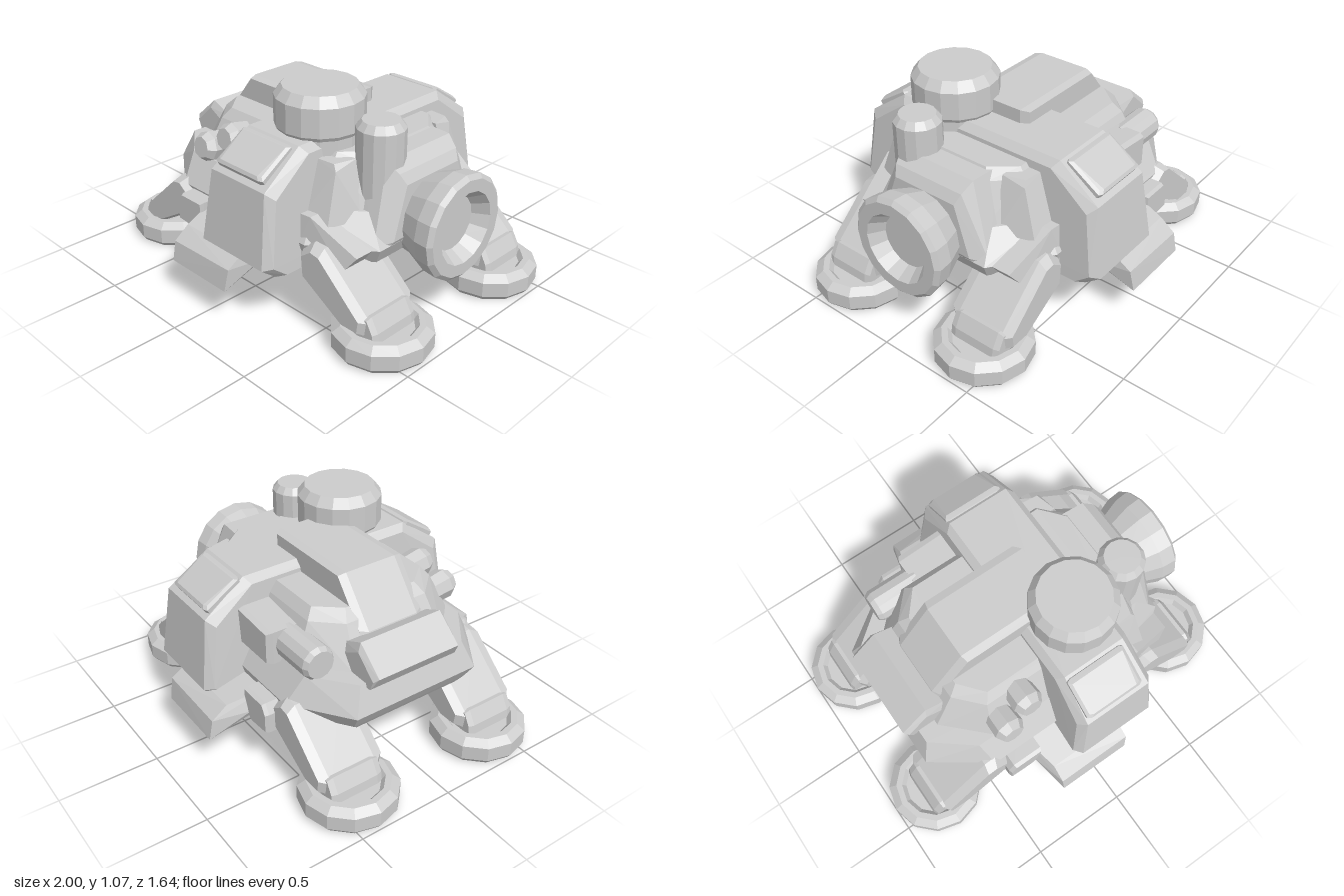
import * as THREE from 'three';
import { ConvexGeometry } from 'three/addons/geometries/ConvexGeometry.js';

const mat = new THREE.MeshStandardMaterial({ color: 0xcccccc, flatShading: true });

export function createModel() {
  const root = new THREE.Group();

  const add = (name, geo, x = 0, y = 0, z = 0) => {
    const m = new THREE.Mesh(geo, mat);
    m.name = name;
    m.position.set(x, y, z);
    root.add(m);
    return m;
  };
  // Convex solid around a list of corners
  const solid = (name, pts) => add(name, new ConvexGeometry(pts.map(p => new THREE.Vector3(...p))));
  // Faceted solid of revolution from [radius, y] pairs
  const lathe = (pts, n) => new THREE.LatheGeometry(pts.map(p => new THREE.Vector2(...p)), n);
  // Stacked chamfered slabs: each level is { y, x0, x1, z, cx, cz } with cut corners
  const levels = (name, list) => solid(name, list.flatMap(({ y, x0, x1, z, cx, cz }) =>
    [1, -1].flatMap(s => [
      [x0, y, s * (z - cz)], [x0 + cx, y, s * z], [x1 - cx, y, s * z], [x1, y, s * (z - cz)],
    ])));
  // Profile in x/y swept along z from z0 to z1, ends bevelled by b
  const prism = (name, prof, z0, z1, b = 0.03, k = 0.88) => {
    const cx = prof.reduce((a, p) => a + p[0], 0) / prof.length;
    const cy = prof.reduce((a, p) => a + p[1], 0) / prof.length;
    return solid(name, prof.flatMap(([x, y]) => {
      const X = cx + (x - cx) * k, Y = cy + (y - cy) * k;
      return [[x, y, z0 + b], [x, y, z1 - b], [X, Y, z0], [X, Y, z1]];
    }));
  };

  // Hull: lower skirt and upper cabin
  levels('skirt', [
    { y: 0.32, x0: -0.68, x1: 0.6, z: 0.5, cx: 0.28, cz: 0.2 },
    { y: 0.35, x0: -0.7, x1: 0.65, z: 0.53, cx: 0.28, cz: 0.2 },
    { y: 0.43, x0: -0.75, x1: 0.69, z: 0.55, cx: 0.28, cz: 0.2 },
    { y: 0.57, x0: -0.7, x1: 0.58, z: 0.46, cx: 0.2, cz: 0.16 },
  ]);
  levels('upperHull', [
    { y: 0.55, x0: -0.62, x1: 0.6, z: 0.46, cx: 0.2, cz: 0.2 },
    { y: 0.76, x0: -0.5, x1: 0.52, z: 0.36, cx: 0.12, cz: 0.13 },
    { y: 0.81, x0: -0.45, x1: 0.49, z: 0.32, cx: 0.1, cz: 0.12 },
  ]);

  // Raised spine sloping down to the tail pod
  const spine = [[-0.57, 0.66], [-0.55, 0.71], [-0.37, 0.935], [0.17, 0.935], [0.17, 0.7]];
  prism('roofSpine', spine, -0.18, 0.18, 0.04, 0.93);
  solid('tailPod', [
    ...[0.21, -0.25].flatMap(z => [[-0.77, 0.62, z], [-0.63, 0.74, z], [-0.51, 0.685, z]]),
    ...[0.23, -0.27].flatMap(z => [[-0.73, 0.55, z], [-0.75, 0.6, z], [-0.64, 0.7, z], [-0.5, 0.62, z], [-0.43, 0.54, z]]),
  ]);

  // Transverse armour band wrapping over the hull
  const half = [[0.67, 0.29], [0.75, 0.35], [0.7, 0.71], [0.48, 0.865]];
  solid('armourBand', [1, -1].flatMap(s => half.flatMap(([z, y]) => {
    const t = (y - 0.29) / 0.575;
    const l = -0.11 + 0.05 * t, r = 0.385 - 0.04 * t;
    const zi = z * 0.945, yi = y > 0.6 ? y - 0.035 : y + 0.01;
    return [[l + 0.035, y, s * z], [r - 0.035, y, s * z], [l, yi, s * zi], [r, yi, s * zi]];
  })));

  // Details mirrored front to back
  for (const s of [1, -1]) {
    // Inset-looking plate on the sloped shoulder of the band
    const a = new THREE.Vector3(0, 0.84, 0.495), b = new THREE.Vector3(0, 0.73, 0.665);
    const up = [0.84, 0.54];
    const corners = [];
    for (const [h, i] of [[-0.03, 0], [0.025, 0], [0.035, 0.015]]) for (const [p, d] of [[a, 1], [b, -1]]) for (const x of [-0.03, 0.29]) {
      const y = p.y + h * up[0] - d * i * 0.54, z = p.z + h * up[1] + d * i * 0.84;
      const xi = x < 0 ? 1 : -1;
      corners.push([x + xi * i, y, s * z], [x + xi * (i + 0.02), y, s * (z - d * 0.01)]);
    }
    solid('shoulderPlate', corners);

    // Sloping loading step below the band
    solid('sideStep', [
      [-0.23, 0.19, s * 0.82], [0.16, 0.19, s * 0.82], [-0.23, 0.29, s * 0.8], [0.17, 0.3, s * 0.8],
      [-0.23, 0.35, s * 0.72], [0.17, 0.35, s * 0.72], [-0.28, 0.3, s * 0.62], [0.19, 0.29, s * 0.62],
      [-0.28, 0.4, s * 0.5], [0.18, 0.4, s * 0.5], [-0.28, 0.31, s * 0.5], [0.18, 0.31, s * 0.5],
    ]);
    const [h0, h1] = s > 0 ? [0.4, 0.63] : [-0.63, -0.4];
    prism('hipBlock', [[-0.43, 0.27], [-0.43, 0.37], [-0.4, 0.42], [-0.24, 0.42], [-0.24, 0.3], [-0.3, 0.26]], h0, h1, 0.02, 0.92);
    // Hip fairing above the forward legs
    solid('hipFairing', [0.36, 0.53].flatMap(z => [
      [0.33, 0.565, s * z], [0.42, 0.565, s * (z - 0.01)], [0.66, 0.43, s * (z - 0.06)], [0.34, 0.35, s * (z + 0.02)], [0.6, 0.35, s * (z - 0.03)],
    ]));
    // Tapered shoulder brace beside the band
    solid('shoulderBrace', [
      [0.33, 0.79, s * 0.4], [0.44, 0.79, s * 0.39], [0.46, 0.76, s * 0.4], [0.33, 0.79, s * 0.28], [0.47, 0.79, s * 0.28],
      [0.33, 0.52, s * 0.5], [0.49, 0.52, s * 0.48], [0.55, 0.52, s * 0.3], [0.33, 0.52, s * 0.28],
    ]);
  }
  add('undersideKeel', new THREE.BoxGeometry(0.42, 0.05, 1.1), -0.04, 0.315, 0);

  // Legs, ankles and round feet
  const footGeo = lathe([[0, 0], [0.22, 0], [0.24, 0.025], [0.24, 0.1], [0.2, 0.13], [0.17, 0.13], [0.15, 0.105], [0, 0.105]], 12);
  const leg = [[0.4, 0.29], [0.39, 0.41], [0.46, 0.46], [0.52, 0.45], [0.81, 0.19], [0.8, 0.12], [0.69, 0.12]];
  const ankle = [[0.69, 0.09], [0.72, 0.21], [0.8, 0.22], [0.84, 0.15], [0.85, 0.09]];
  for (const sx of [1, -1]) for (const sz of [1, -1]) {
    const side = p => p.map(([x, y]) => [sx * x, y]);
    const span = (c, w) => [sz * c - w, sz * c + w];
    prism('leg', side(leg), ...span(0.405, 0.175), 0.05, 0.84);
    prism('ankle', side(ankle), ...span(0.41, 0.14), 0.03, 0.85);
    add('foot', footGeo, sx * 0.76, 0, sz * 0.4);
  }

  // Side thruster and its mounting block
  solid('thrusterMount', [1, -1].flatMap(s => [
    [0.45, 0.8, s * 0.23], [0.6, 0.8, s * 0.22], [0.66, 0.75, s * 0.2], [0.45, 0.43, s * 0.36], [0.65, 0.43, s * 0.35],
    [0.7, 0.45, s * 0.27], [0.69, 0.7, s * 0.18], [0.64, 0.34, s * 0.31], [0.45, 0.34, s * 0.31],
  ]));
  const thruster = add('thrusterRing', lathe([
    [0, 0.6], [0.2, 0.62], [0.21, 0.69], [0.255, 0.8], [0.262, 0.875], [0.24, 0.895], [0.18, 0.895], [0.135, 0.82], [0, 0.82],
  ], 16), 0, 0.49, 0);
  thruster.rotation.z = -Math.PI / 2;

  // Roof turret and upright tank
  add('roofTurret', lathe([[0, 0.78], [0.205, 0.78], [0.205, 0.86], [0.217, 0.88], [0.217, 1.02], [0.18, 1.068], [0, 1.068]], 16), 0.195, 0, 0.235);
  add('uprightTank', lathe([[0, 0.42], [0.117, 0.42], [0.117, 0.935], [0.09, 0.97], [0, 0.97]], 14), 0.525, 0, 0.178);

  // Twin stub barrels at the front
  const barrel = lathe([[0, -0.12], [0.07, -0.12], [0.078, 0.03], [0.055, 0.07], [0, 0.07]], 8);
  for (const [x, y, z] of [[-0.345, 0.65, 0.46], [-0.21, 0.725, 0.42]]) {
    const m = add('stubBarrel', barrel, x, y, z);
    m.rotation.x = Math.PI / 2 - 0.15;
  }

  // Rear cannon lying along the hull
  prism('cannonHousing', [[-0.32, 0.55], [-0.32, 0.72], [-0.05, 0.74], [-0.05, 0.55]], -0.54, -0.34, 0.03, 0.9);
  const cannon = add('cannonBarrel', lathe([[0, -0.14], [0.085, -0.14], [0.085, 0.1], [0.07, 0.125], [0, 0.125]], 12), -0.43, 0.64, -0.41);
  cannon.rotation.z = Math.PI / 2;

  return root;
}
